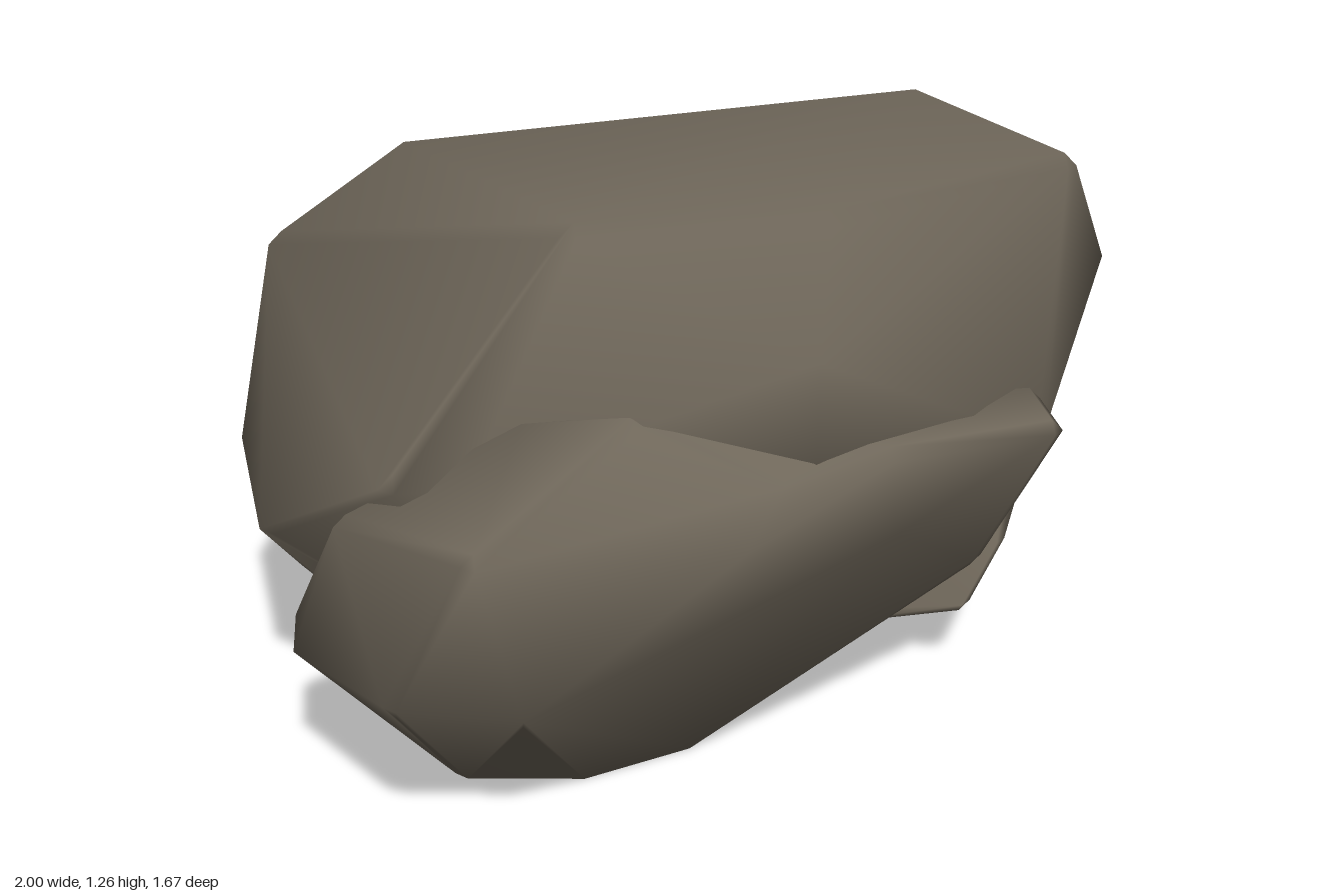
import * as THREE from 'three';
import { ConvexGeometry } from 'three/addons/geometries/ConvexGeometry.js';
import { mergeVertices } from 'three/addons/utils/BufferGeometryUtils.js';

const stone = new THREE.MeshStandardMaterial({ color: 0x6f675a });
stone.name = 'stone';

// Convex boulder with slightly worn corners: every corner becomes a tiny octahedron
function boulder(name, corners, wear) {
  const pts = corners.map(c => new THREE.Vector3(...c));
  const centre = new THREE.Box3().setFromPoints(pts).getCenter(new THREE.Vector3());
  const worn = [];
  for (const p of pts) {
    const inner = p.clone().addScaledVector(p.clone().sub(centre).normalize(), -wear);
    for (let axis = 0; axis < 3; axis++) {
      for (const s of [-wear, wear]) {
        const q = inner.clone();
        q.setComponent(axis, q.getComponent(axis) + s);
        q.y = p.y === 0 && q.y < wear * 1.5 ? 0 : Math.max(q.y, 0);
        worn.push(q);
      }
    }
  }
  let geo = new ConvexGeometry(worn);
  geo.deleteAttribute('normal');
  geo = mergeVertices(geo, 1e-4);
  geo.computeVertexNormals();
  const mesh = new THREE.Mesh(geo, stone);
  mesh.name = name;
  return mesh;
}

export function createModel() {
  const group = new THREE.Group();
  group.name = 'rockPile';

  group.add(boulder('mainBoulder', [
    // top plateau
    [-0.61, 1.21, -0.19], [0.63, 1.25, -0.37], [0.91, 1.15, -0.08], [0.23, 1.19, 0.45], [-0.29, 1.19, 0.46],
    // shoulders
    [0.3, 1.1, -0.66], [0.81, 1.01, -0.56], [0.9, 1.08, -0.3], [-0.9, 0.98, -0.3], [-0.42, 0.94, -0.7],
    [-0.6, 0.75, -0.68], [-0.67, 0.72, 0.57], [0.17, 0.97, 0.63], [-0.53, 0.74, 0.61],
    // widest band
    [1, 0.92, -0.1], [0.17, 0.88, -0.83], [0.03, 0.85, -0.83], [0.17, 0.7, 0.63],
    [-0.94, 0.46, 0.15], [0.75, 0.64, 0.29],
    [-1, 0.5, -0.3], [-0.58, 0.5, -0.67], [0.1, 0.5, -0.83], [0.88, 0.5, -0.1], [0.65, 0.47, -0.47],
    // underside
    [0.15, 0.33, -0.68], [-0.62, 0.34, -0.3], [-0.86, 0.34, 0.1], [0.6, 0.35, 0.1], [-0.5, 0.3, 0.5],
    [-0.22, 0, -0.3], [-0.38, 0, -0.18], [-0.48, 0, -0.08], [-0.46, 0, 0.2], [0, 0, -0.15], [0.12, 0, 0.05],
  ], 0.03));

  group.add(boulder('frontSlab', [
    // upper edge
    [-0.42, 0.86, 0.63], [-0.2, 0.86, 0.62], [-0.77, 0.62, 0.48], [-0.45, 0.68, 0.3],
    [0.1, 0.75, 0.67], [0.35, 0.735, 0.56], [0.73, 0.73, 0.28],
    // front face
    [-0.53, 0.68, 0.83], [-0.69, 0.36, 0.77], [0, 0.65, 0.77], [-0.45, 0.33, 0.8], [0.35, 0.6, 0.62],
    // ends
    [-0.87, 0.32, 0.44], [-0.87, 0.32, 0.27], [0.77, 0.67, 0.33], [0.74, 0.62, 0.22], [0.63, 0.34, 0.25],
    [0.6, 0.34, 0.17],
    // ground contact
    [-0.55, 0, 0.43], [-0.3, 0, 0.47], [-0.05, 0, 0.38], [0.08, 0.04, 0.19], [-0.5, 0, 0.2],
  ], 0.025));

  group.add(boulder('sideStone', [
    // upper edge
    [0.83, 0.46, -0.25], [0.78, 0.42, 0], [0.72, 0.32, 0.15], [0.5, 0.42, -0.55], [0.3, 0.42, -0.3],
    // outer ridge
    [0.93, 0.38, -0.28], [0.81, 0.18, -0.28], [0.63, 0.18, 0.19], [-0.08, 0.33, -0.72], [-0.16, 0.18, -0.71],
    [-0.18, 0.08, -0.52],
    // ground contact
    [0.3, 0, -0.4], [0.06, 0, -0.4], [0.15, 0, -0.1],
  ], 0.025));

  return group;
}
